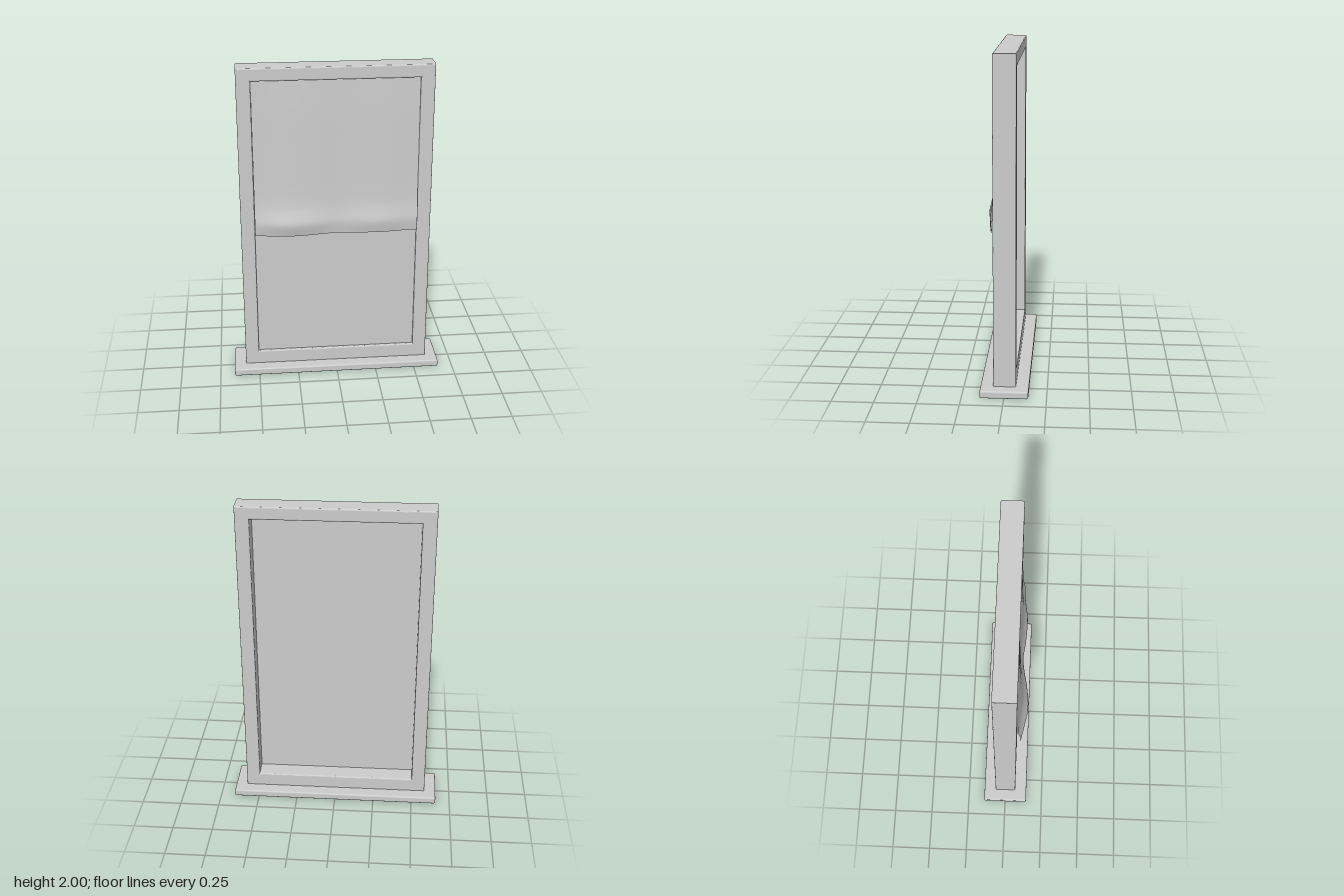
import * as THREE from 'three';
import { RoundedBoxGeometry } from 'three/addons/geometries/RoundedBoxGeometry.js';

const material = new THREE.MeshStandardMaterial({ color: 0xcccccc });
const clothMaterial = new THREE.MeshStandardMaterial({ color: 0xcccccc, side: THREE.DoubleSide });

function addPart(group, name, geometry, mat = material) {
  const mesh = new THREE.Mesh(geometry, mat);
  mesh.name = name;
  group.add(mesh);
  return mesh;
}

function rectangle(PathType, x, y0, y1) {
  return new PathType([[-x, y0], [x, y0], [x, y1], [-x, y1]].map(p => new THREE.Vector2(...p)));
}

// Smooth curve giving z for a position between 0 and 1 along evenly spaced values
function sampler(points) {
  const curve = new THREE.SplineCurve(points.map(p => new THREE.Vector2(...p)));
  const samples = curve.getPoints(200);
  return t => {
    const i = Math.max(1, samples.findIndex(p => p.x >= t));
    const a = samples[i - 1], b = samples[i];
    return THREE.MathUtils.mapLinear(t, a.x, b.x, a.y, b.y);
  };
}

function createFrame() {
  const bevel = 0.008, depth = 0.134;
  const shape = rectangle(THREE.Shape, 0.585, 0.04, 2);
  shape.holes.push(rectangle(THREE.Path, 0.5, 0.133, 1.922));
  const geometry = new THREE.ExtrudeGeometry(shape, {
    depth: depth - 2 * bevel, bevelThickness: bevel, bevelSize: bevel,
    bevelOffset: -bevel, bevelSegments: 3,
  });
  return geometry.translate(0, 0, -depth / 2 + bevel);
}

// Hanging cloth: folds run across it and swell towards the lower hem
function createBlind() {
  const top = 1.922, bottom = 0.957, restZ = 0.055;
  const folds = sampler([[-0.5, 0.038], [-0.4, 0.06], [-0.3, 0.075], [-0.18, 0.066], [0, 0.036],
    [0.13, 0.048], [0.28, 0.054], [0.42, 0.036], [0.5, 0.034]]);
  const swell = sampler([[0.957, 0.8], [1.03, 1], [1.08, 0.82], [1.14, 0.6], [1.25, 0.46],
    [1.5, 0.3], [1.72, 0.17], [1.922, 0]]);
  const geometry = new THREE.PlaneGeometry(0.998, top - bottom, 50, 50);
  geometry.translate(0, (top + bottom) / 2, 0);
  const pos = geometry.attributes.position;
  for (let i = 0; i < pos.count; i++) {
    const x = THREE.MathUtils.clamp(pos.getX(i), -0.499, 0.499);
    const y = THREE.MathUtils.clamp(pos.getY(i), bottom + 0.0001, top - 0.0001);
    pos.setZ(i, restZ + folds(x) * swell(y));
  }
  geometry.computeVertexNormals();
  return geometry;
}

export function createModel() {
  const model = new THREE.Group();
  model.name = 'window';

  // Surround and sill
  addPart(model, 'frame', createFrame());
  addPart(model, 'sill', new RoundedBoxGeometry(1.316, 0.046, 0.286, 3, 0.01)).position.y = 0.023;

  // Pane set close to the front of the opening
  addPart(model, 'pane', new THREE.BoxGeometry(1, 1.789, 0.006)).position.set(0, 1.0275, 0.046);

  // Half-lowered cloth blind
  addPart(model, 'blind', createBlind(), clothMaterial);
  return model;
}
